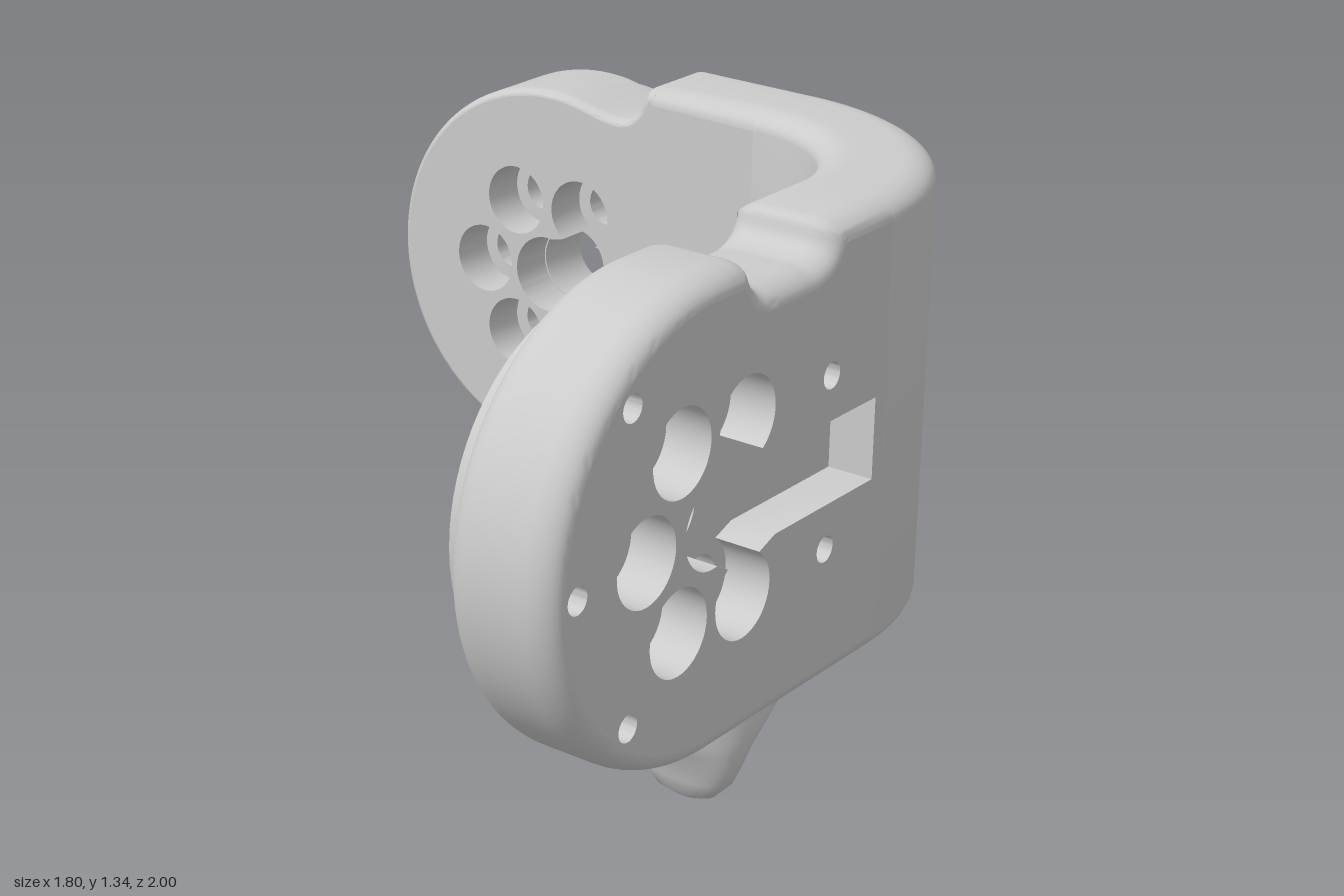
import * as THREE from 'three';
import { toCreasedNormals } from 'three/addons/utils/BufferGeometryUtils.js';

const mat = new THREE.MeshStandardMaterial({ color: 0xcccccc, side: THREE.DoubleSide });
const V = (x, y) => new THREE.Vector2(x, y);
const HALF = 0.57, MID = 0.765, GROOVE = 0.103, GROOVE_DEPTH = 0.12;
const EDGE = 0.08, INSET = 0.625; // edge rounding depth, and its inset as a share of it

function add(group, geo, name) {
  const mesh = new THREE.Mesh(geo, mat);
  mesh.name = name;
  group.add(mesh);
  return mesh;
}

// Skin over equal-length rows of [x, y, z]
function loft(rows, closed, crease = 0.6) {
  const n = rows[0].length, idx = [];
  for (let i = 0; i < rows.length - 1; i++) {
    for (let j = 0; j < (closed ? n : n - 1); j++) {
      const k = (j + 1) % n, a = i * n + j, b = i * n + k;
      idx.push(a, a + n, b, b, a + n, b + n);
    }
  }
  const g = new THREE.BufferGeometry();
  g.setAttribute('position', new THREE.Float32BufferAttribute(rows.flat(2), 3));
  g.setIndex(idx);
  return toCreasedNormals(g, crease);
}

function arc(cx, cy, r, from, to, n = 40) {
  return Array.from({ length: n + 1 }, (_, i) => {
    const a = THREE.MathUtils.degToRad(from + (to - from) * i / n);
    return V(cx + r * Math.cos(a), cy + r * Math.sin(a));
  });
}
const circle = (x, y, r) => arc(x, y, r, 0, 360).slice(0, -1);
const mirrorY = pts => pts.map(p => V(p.x, -p.y)).reverse();

// Flat face with holes
function face(contour, holes, z) {
  const s = new THREE.Shape(contour);
  s.holes = holes.map(h => new THREE.Path(h));
  return new THREE.ShapeGeometry(s).translate(0, 0, z);
}

// Straight wall along a path
const wall = (pts, za, zb, closed = true) =>
  loft([za, zb].map(z => pts.map(p => [p.x, p.y, z])), closed);

// Mounting plate: rounded rim, bolt pattern, cable groove and rear ring
function plate(name, o) {
  const g = new THREE.Group();
  g.name = name;
  const { outline, cx, z0, z1, k, bevel } = o, zm = z1 - GROOVE_DEPTH;

  // Rim, open where the plate meets the bend
  const normals = outline.map((p, i) => {
    const a = outline[Math.max(i - 1, 0)], b = outline[Math.min(i + 1, outline.length - 1)];
    return V(b.y - a.y, a.x - b.x).normalize();
  });
  const inset = s => outline.map((p, i) => p.clone().addScaledVector(normals[i], -s * INSET * bevel(p.x)));
  const rows = [];
  for (const side of [1, -1]) {
    for (let i = 0; i <= 8; i++) {
      const a = (side > 0 ? i : 8 - i) / 8 * Math.PI / 2, drop = 1 - Math.cos(a);
      rows.push(inset(1 - Math.sin(a)).map((p, j) => {
        const d = drop * bevel(outline[j].x);
        return [p.x, p.y, side > 0 ? z1 - d : z0 + d];
      }));
    }
  }
  add(g, loft(rows, false, 0.9), 'rim');

  // Bolt holes round the centre hole
  const bx = 0.107 * k, by = 0.187 * k, bore = 0.093 * k;
  const spots = [[-2 * bx, 0], [-bx, by], [-bx, -by], [bx, by], [bx, -by]];
  const bolts = spots.map(([x, y]) => circle(cx + x, y, 0.056 * k));
  const bores = spots.slice(0, 3).map(([x, y]) => circle(cx + x, y, bore));
  const hub = circle(cx, 0, 0.099);
  const pins = (o.pins || []).map(([x, y]) => circle(cx + x, y, 0.033));

  // Groove running out of the hub and merging with two counterbores
  const upper = [...arc(cx, 0, GROOVE, 180, 80, 20), ...arc(cx + bx, by, bore, 235, -55, 36),
    V(cx + 2 * bx, GROOVE), V(o.grooveEnd, GROOVE)];
  const groove = [...mirrorY(upper).slice(0, -1), ...upper];

  const edge = inset(1);
  add(g, o.grooveOpen ? face([...edge, ...groove], [...bores, ...pins], z1)
    : face(edge, [...bores, ...pins, groove], z1), 'frontFace');
  const back = add(g, face(edge, [...bolts, hub, ...pins], 0), 'backFace');
  back.rotation.y = 0;
  back.geometry.index.array.reverse();
  back.geometry.computeVertexNormals();
  back.position.z = z0;

  add(g, face(groove, [hub, bolts[3], bolts[4]], zm), 'grooveFloor');
  add(g, wall(groove, zm, z1, !o.grooveOpen), 'grooveWall');
  bores.forEach((b, i) => {
    add(g, wall(b, zm, z1), 'counterboreWall');
    add(g, face(b, [bolts[i]], zm), 'counterboreFloor');
  });
  for (const h of [...bolts, hub]) add(g, wall(h, z0, zm), 'boltHole');
  for (const h of pins) add(g, wall(h, z0, z1), 'pinHole');

  // Raised ring behind the plate
  const h = o.ring;
  const ring = new THREE.LatheGeometry(
    [V(0.395, 0), V(0.395, -h), V(0.45, -h), V(0.45, 0)], 72).rotateX(Math.PI / 2);
  add(g, toCreasedNormals(ring, 0.6), 'ring').position.set(cx, 0, z0);
  g.position.y = MID;
  return g;
}

// Quarter bend joining the plates, with the groove along its inside
function bend() {
  const rows = [], rx = EDGE, ry = EDGE * INSET, R = 0.65;
  for (let i = 0; i <= 40; i++) {
    const t = i / 40, a = t * Math.PI / 2;
    const ri = 0.38 - 0.02 * t;
    const depth = GROOVE_DEPTH * Math.min(1, (1 - t) * 6);
    const half = [];
    for (let j = 0; j <= 8; j++) {
      const q = j / 8 * Math.PI / 2;
      half.push([R - rx * (1 - Math.cos(q)), HALF - ry * (1 - Math.sin(q))]);
    }
    for (let j = 0; j <= 8; j++) {
      const q = j / 8 * Math.PI / 2;
      half.push([ri + rx * (1 - Math.sin(q)), HALF - ry * (1 - Math.cos(q))]);
    }
    half.push([ri, GROOVE], [ri + depth, GROOVE]);
    const loop = [...half, ...half.map(([r, y]) => [r, -y]).reverse()];
    rows.push(loop.map(([r, y]) => [0.25 + r * Math.sin(a), MID + y, -0.25 - r * Math.cos(a)]));
  }
  return loft(rows, true);
}

// Small horn under the side plate: rows of y, centre z, half depth, half width
function horn() {
  const rows = [[0, 0.3, 0.001, 0.001], [0.004, 0.3, 0.02, 0.04], [0.02, 0.3, 0.038, 0.08],
    [0.06, 0.298, 0.052, 0.118], [0.1, 0.295, 0.067, 0.135], [0.15, 0.28, 0.107, 0.143],
    [0.18, 0.255, 0.147, 0.143], [0.21, 0.225, 0.185, 0.14], [0.26, 0.225, 0.185, 0.13]];
  return loft(rows.map(([y, z, hz, hx]) => Array.from({ length: 40 }, (_, i) => {
    const a = i / 40 * Math.PI * 2, c = Math.cos(a), s = Math.sin(a);
    const p = v => Math.sign(v) * Math.abs(v) ** 0.8;
    return [0.755 + hx * p(c), y, z + hz * p(s)];
  })), true, 1.2);
}

export function createModel() {
  const model = new THREE.Group();
  model.name = 'bracket';
  const spline = pts => new THREE.SplineCurve(pts.map(p => V(...p))).getPoints(40);

  // Back plate: round disc with a neck stepping up to the band
  const neck = [V(0.25, HALF), ...spline([[-0.06, HALF], [-0.085, 0.563], [-0.1, 0.535],
    [-0.115, 0.5], [-0.15, 0.475], [-0.2, 0.473], [-0.3, 0.494]])];
  model.add(plate('backPlate', {
    outline: [...neck, ...arc(-0.4, 0, 0.505, 82, 278, 80), ...mirrorY(neck)],
    cx: -0.4, z0: -0.9, z1: -0.63, k: 1, ring: 0.1, grooveEnd: 0.25, grooveOpen: true,
    bevel: x => 0.03 + (EDGE - 0.03) * THREE.MathUtils.smoothstep(x, -0.13, -0.02),
  }));

  // Side plate: built facing +z, then turned to face +x
  const notch = [V(0.25, HALF), ...spline([[0.05, HALF], [0.02, 0.56], [0, 0.515], [-0.05, 0.492],
    [-0.1, 0.49], [-0.2, 0.49], [-0.25, 0.495], [-0.28, 0.525], [-0.3, 0.56], [-0.33, HALF]])];
  const side = plate('sidePlate', {
    outline: [...notch, ...arc(-0.43, 0, HALF, 90, 270, 80), V(0.25, -HALF)],
    cx: -0.43, z0: 0.61, z1: 0.9, k: 1.13, ring: 0.08, grooveEnd: 0.21, grooveOpen: false,
    bevel: () => EDGE,
    pins: [[-0.3, 0.37], [-0.3, -0.37], [-0.48, 0], [0.45, 0.215], [0.45, -0.215]],
  });
  side.rotation.y = Math.PI / 2;
  model.add(side);

  add(model, bend(), 'bend');
  add(model, horn(), 'horn');
  return model;
}
